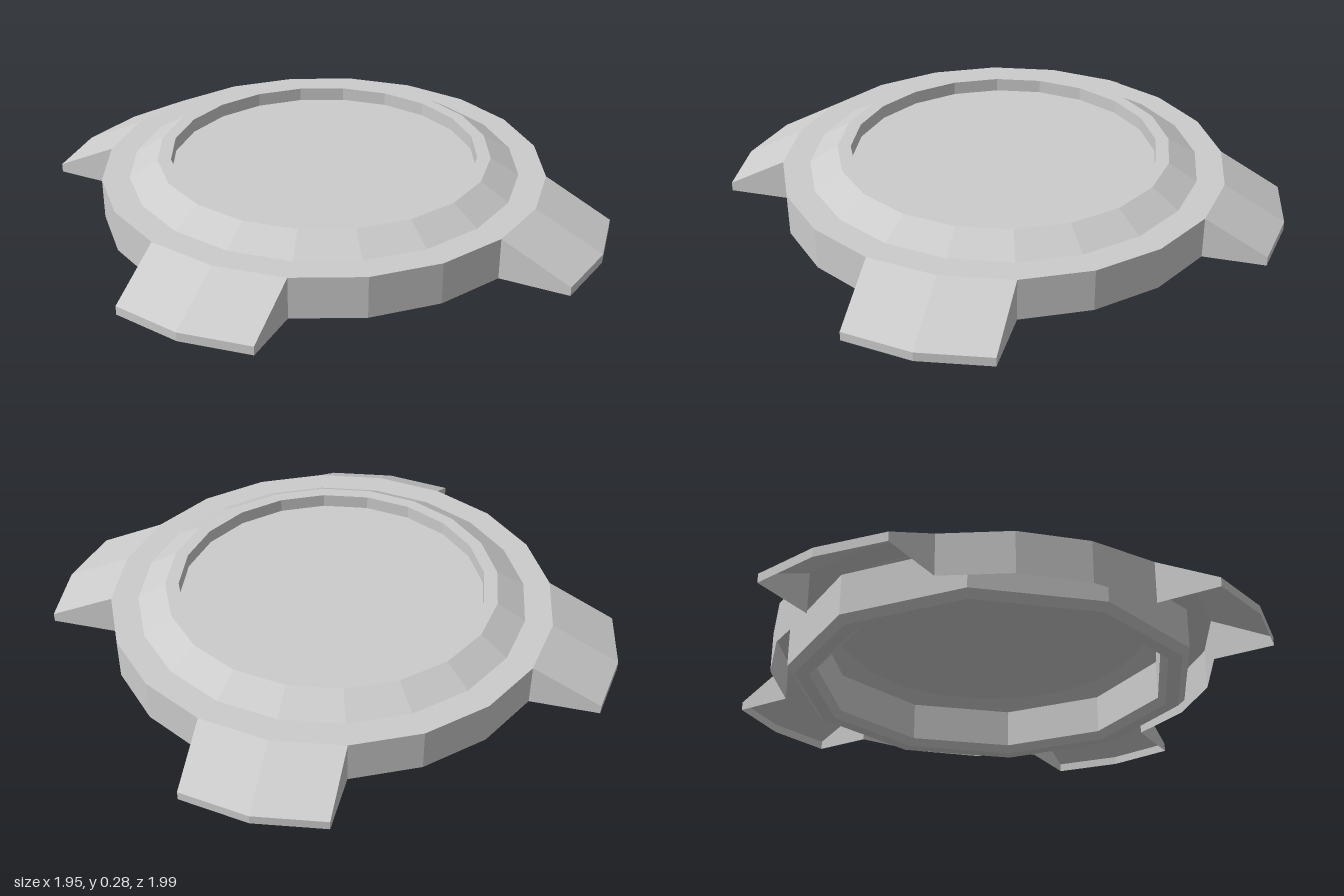
import * as THREE from 'three';

const rad = THREE.MathUtils.degToRad;
const R = 0.883, RIM_Y = 0.21, LIP_Y = 0.08, BASE_Y = 0.045;
const material = new THREE.MeshStandardMaterial({
  color: 0xcccccc, flatShading: true, side: THREE.DoubleSide,
});

function addMesh(parent, name, geometry) {
  const mesh = new THREE.Mesh(geometry, material);
  mesh.name = name;
  parent.add(mesh);
}

// Faceted surface of revolution from [radius, height] pairs, angles in degrees
function lathe(profile, sides, start, sweep = 360) {
  const points = profile.map(([r, y]) => new THREE.Vector2(r, y));
  return new THREE.LatheGeometry(points, sides, rad(start), rad(sweep));
}

// Hollow wedge-shaped tab, drawn out of two wall segments and open underneath
function tabGeometry(angle, length) {
  const out = new THREE.Vector3(Math.sin(rad(angle)), 0, Math.cos(rad(angle)));
  const columns = [-18, 0, 18].map((d) => {
    const a = rad(angle + d);
    const base = new THREE.Vector3(R * Math.sin(a), RIM_Y, R * Math.cos(a));
    const lip = base.clone().addScaledVector(out, length).setY(LIP_Y);
    return { base, lip, foot: lip.clone().setY(BASE_Y), root: base.clone().setY(BASE_Y) };
  });
  const positions = [];
  const quad = (a, b, c, d) => [a, b, c, a, c, d].forEach((p) => positions.push(p.x, p.y, p.z));
  for (let i = 0; i < 2; i++) {
    const p = columns[i], q = columns[i + 1];
    quad(p.base, p.lip, q.lip, q.base);
    quad(p.lip, p.foot, q.foot, q.lip);
  }
  const [first, , last] = columns;
  quad(first.base, first.root, first.foot, first.lip);
  quad(last.base, last.lip, last.foot, last.root);
  const geometry = new THREE.BufferGeometry();
  geometry.setAttribute('position', new THREE.Float32BufferAttribute(positions, 3));
  geometry.computeVertexNormals();
  return geometry;
}

export function createModel() {
  const group = new THREE.Group();
  group.name = 'tabbedCap';

  // Flat rim, sloped shoulder and raised lip
  addMesh(group, 'topShell', lathe(
    [[R, RIM_Y], [0.775, RIM_Y], [0.663, 0.275], [0.61, 0.275], [0.61, 0.22]], 20, 7.2));

  // Recessed centre panel
  addMesh(group, 'centrePanel', lathe([[0.61, 0.22], [0, 0.22]], 20, 7.2));

  // Four tabs with wall sections between them
  for (let i = 0; i < 4; i++) {
    const angle = 43.2 + i * 90;
    addMesh(group, 'tab', tabGeometry(angle, i % 2 ? 0.24 : 0.268));
    addMesh(group, 'outerWall', lathe([[R, BASE_Y], [R, RIM_Y]], 3, angle + 18, 54));
  }

  // Bevelled seating ring below the shell
  addMesh(group, 'seatingRing', lathe(
    [[0.815, 0.19], [0.815, 0.028], [0.785, 0], [0.73, 0], [0.7, 0.028], [0.7, 0.19]], 10, -4));

  return group;
}
